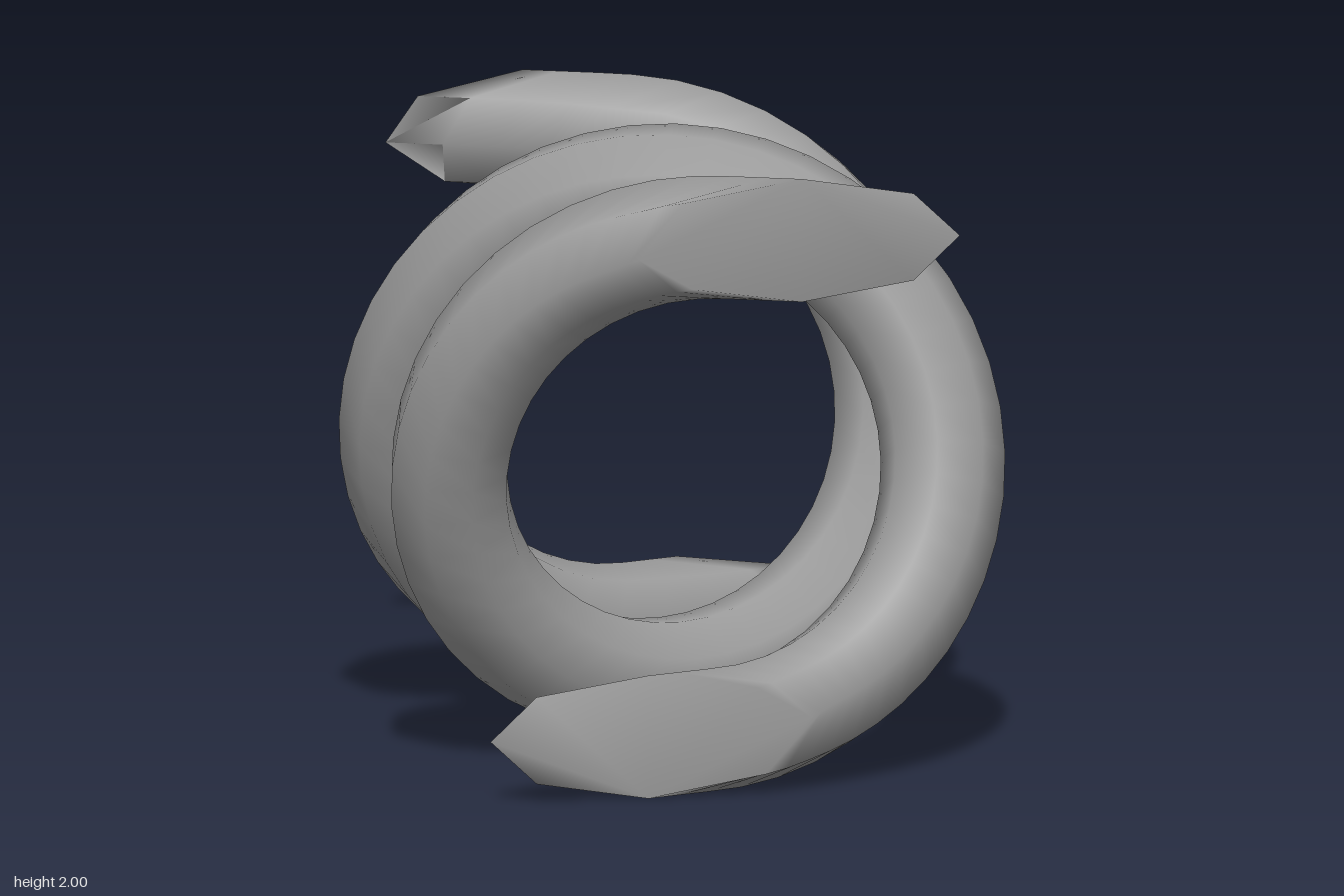
import * as THREE from 'three';

const COIL_RADIUS = 0.8, RADIAL = 0.2, AXIAL = 0.19; // coil and strand section radii
const TURN_END = 0.9;                 // the coil turns up to here, then runs straight
const K = Math.PI / TURN_END;         // turn angle per unit of z
const TWIST = THREE.MathUtils.degToRad(64); // section roll per half turn
const RINGS = 48, SIDES = 8;

// One strand coiled around the z axis, trimmed flat at z = -1 and z = 1
function strandGeometry() {
  const slope = COIL_RADIUS * K, norm = Math.hypot(slope, 1);
  const positions = [], index = [];
  const clampTurn = (z) => THREE.MathUtils.clamp(z, -TURN_END, TURN_END);

  for (let i = 0; i <= RINGS; i++) {
    const v = -1 + (2 * i) / RINGS;
    const roll = TWIST * (clampTurn(v) / TURN_END - 1);
    for (let j = 0; j < SIDES; j++) {
      const phi = (j / SIDES) * Math.PI * 2 + roll;
      const out = RADIAL * Math.cos(phi), side = (AXIAL * Math.sin(phi)) / norm;
      // rings lean over towards the ends so that the last ones lie in the trim plane
      const z = v - side * slope * v ** 4;
      const zc = clampTurn(z);
      const s = Math.sin(K * zc), c = Math.cos(K * zc);
      const along = 2.5 * (z - zc) - side;
      positions.push(
        s * (COIL_RADIUS + out) + c * along,
        c * (COIL_RADIUS + out) - s * along,
        z + side * slope
      );
    }
  }

  // skin
  for (let i = 0; i < RINGS; i++) {
    for (let j = 0; j < SIDES; j++) {
      const a = i * SIDES + j, b = i * SIDES + ((j + 1) % SIDES);
      index.push(a, b, a + SIDES, b, b + SIDES, a + SIDES);
    }
  }

  // flat end caps, sharing the skin's corners so the shading rolls over the rim
  const last = RINGS * SIDES;
  for (let j = 1; j < SIDES - 1; j++) {
    index.push(0, j + 1, j);
    index.push(last, last + j, last + j + 1);
  }

  const geometry = new THREE.BufferGeometry();
  geometry.setAttribute('position', new THREE.Float32BufferAttribute(positions, 3));
  geometry.setIndex(index);
  geometry.computeVertexNormals();
  return geometry;
}

export function createModel() {
  const group = new THREE.Group();
  group.name = 'doubleHelix';
  const geometry = strandGeometry();
  const material = new THREE.MeshStandardMaterial({ color: 0x999999 });

  // two equal strands, half a turn apart
  ['firstStrand', 'secondStrand'].forEach((name, i) => {
    const strand = new THREE.Mesh(geometry, material);
    strand.name = name;
    strand.position.y = 1;
    strand.rotation.z = i * Math.PI;
    group.add(strand);
  });
  return group;
}
